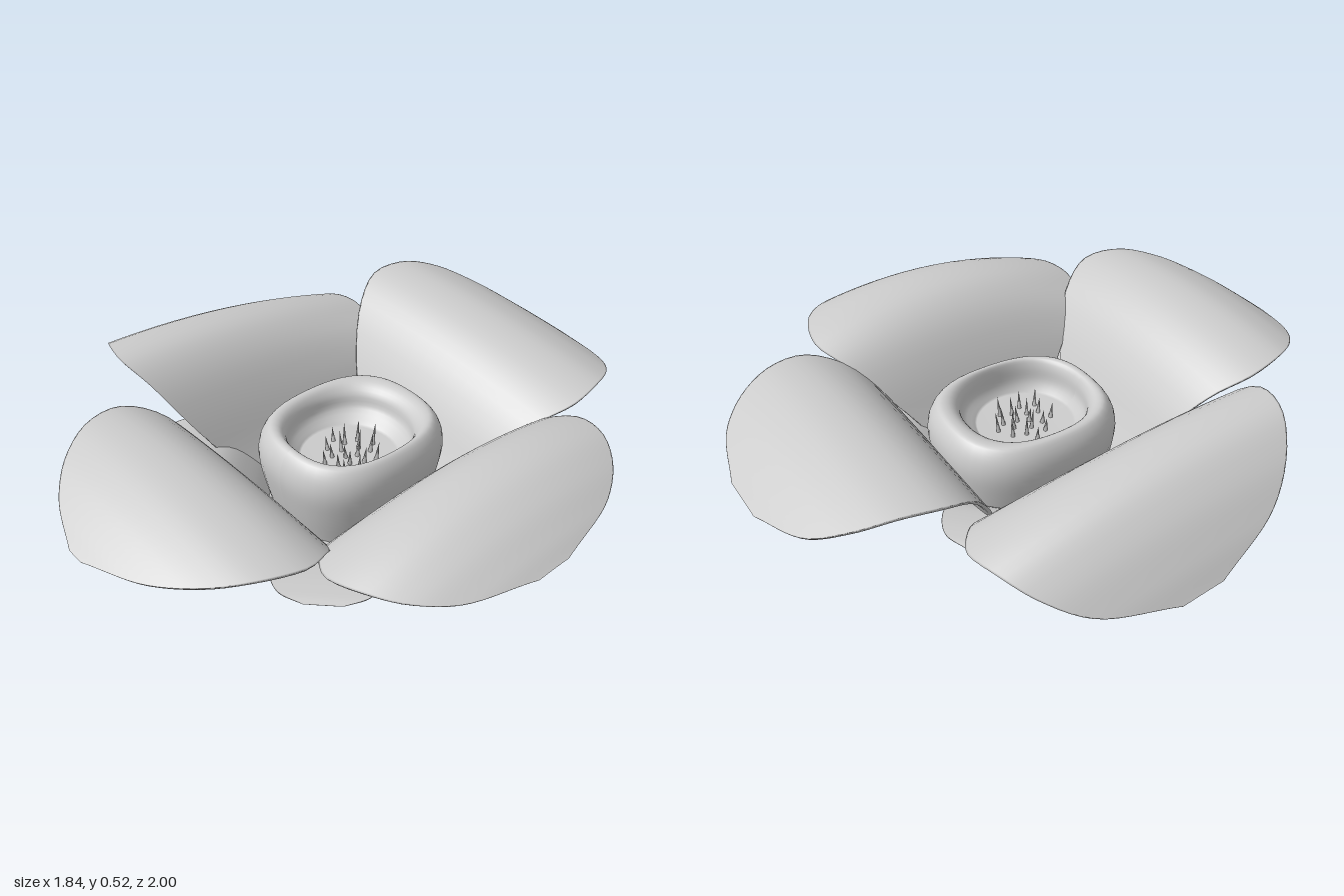
import * as THREE from 'three';

const material = new THREE.MeshStandardMaterial({ color: 0xcccccc, roughness: 0.8 });
const { lerp, smoothstep } = THREE.MathUtils;

// Blade lofted along +z. The spine holds (half width, height, reach) points;
// tilt raises one side, droop lowers both sides, low and high scale the two half widths.
function bladeGeometry(spine, { thickness, low = 1, high = 1, tilt = 0, droop = 0 }) {
  const along = 36, across = 20, loop = across * 2;
  const curve = new THREE.CatmullRomCurve3(spine);
  const positions = [], index = [];
  for (let i = 0; i <= along; i++) {
    const u = Math.sin((i / along) * Math.PI / 2); // rows crowd toward the tip
    const p = curve.getPoint(u), tangent = curve.getTangent(u);
    const slope = Math.atan2(tangent.y, tangent.z);
    const bend = smoothstep(u, 0.1, 0.5);
    for (let j = 0; j < loop; j++) {
      const under = j > across;
      const v = -Math.cos(((under ? loop - j : j) / across) * Math.PI);
      const t = under ? thickness * Math.pow(1 - v * v, 0.25) * Math.sqrt(1 - u ** 8) : 0;
      const x = lerp(-low, high, (v + 1) / 2) * p.x, side = x / 0.5;
      positions.push(
        x,
        p.y + bend * (tilt * side - droop * side * side) - t * Math.cos(slope),
        p.z + t * Math.sin(slope));
      if (i < along) {
        const k = i * loop + j, n = i * loop + (j + 1) % loop;
        index.push(k, k + loop, n, n, k + loop, n + loop);
      }
    }
  }
  const geometry = new THREE.BufferGeometry();
  geometry.setAttribute('position', new THREE.Float32BufferAttribute(positions, 3));
  geometry.setIndex(index);
  geometry.computeVertexNormals();
  return geometry;
}

// Shared petal spine: a steep funnel that flares out and dips at the tip.
// Reach sets its length, blunt widens the outer end, curl pulls the tip down.
function petalSpine({ reach = 1, blunt, curl = 0 }) {
  return [
    [0.19, 0.02, 0.24], [0.28, 0.15, 0.31], [0.38, 0.29, 0.38], [0.46, 0.41, 0.47],
    [0.51, 0.475, 0.58], [0.48, 0.485, 0.71], [0.39, 0.45, 0.83], [0.24, 0.395, 0.93],
    [0.03, 0.345, 1],
  ].map(([w, y, r]) => new THREE.Vector3(
    r > 0.58 ? 0.51 * Math.pow(w / 0.51, blunt) : w,
    y - curl * Math.max(0, (r - 0.6) / 0.4) ** 2,
    lerp(0.24, reach, (r - 0.24) / 0.76)));
}

// The four petals, each with its own outline and lean
const petals = [
  { name: 'frontPetal', low: 0.82, high: 1.06, droop: 0.04, blunt: 0.95 },
  { name: 'leftPetal', low: 1.02, high: 1.04, tilt: 0.03, droop: 0.08, reach: 0.92, blunt: 0.75 },
  { name: 'backPetal', low: 0.98, high: 0.97, tilt: 0.035, droop: 0.02, blunt: 0.58 },
  { name: 'rightPetal', low: 1.08, high: 0.96, tilt: 0.08, droop: 0.04, reach: 0.92, blunt: 0.7, curl: 0.13 },
];

// Rounded-square cup: outer wall, rolled rim, inner wall and floor
function cupGeometry() {
  const profile = new THREE.SplineCurve([
    [0.24, 0.02], [0.262, 0.12], [0.277, 0.22], [0.27, 0.285], [0.245, 0.328],
    [0.22, 0.33], [0.203, 0.3], [0.195, 0.25], [0.165, 0.21],
  ].map(([r, y]) => new THREE.Vector2(r, y))).getPoints(32);
  const geometry = new THREE.LatheGeometry([...profile, new THREE.Vector2(0, 0.21)], 48);
  const pos = geometry.attributes.position;
  for (let i = 0; i < pos.count; i++) {
    const x = pos.getX(i), z = pos.getZ(i);
    const blend = smoothstep(Math.hypot(x, z), 0.165, 0.24);
    const square = 1 - 0.04 * blend * Math.cos(4 * Math.atan2(x, z));
    pos.setX(i, x * square + 0.025 * (1 - blend));
    pos.setZ(i, z * square * (1 + 0.15 * blend) - 0.01 - 0.03 * blend);
  }
  geometry.computeVertexNormals();
  return geometry;
}

export function createModel() {
  const flower = new THREE.Group();
  flower.name = 'flower';
  const add = (name, geometry, parent = flower) => {
    const mesh = new THREE.Mesh(geometry, material);
    mesh.name = name;
    parent.add(mesh);
    return mesh;
  };
  const addGroup = (name) => {
    const group = new THREE.Group();
    group.name = name;
    flower.add(group);
    return group;
  };

  petals.forEach((petal, i) => {
    const geometry = bladeGeometry(petalSpine(petal), { ...petal, thickness: 0.028 });
    add(petal.name, geometry).rotation.y = i * Math.PI / 2;
  });

  // Sepals on the diagonals between the petals; the right-hand pair is shorter and steeper
  const sepals = addGroup('sepals');
  for (let i = 0; i < 4; i++) {
    const length = i > 1 ? 0.92 : 1, rise = i > 1 ? 1.2 : 1;
    const spine = [
      [0.1, 0.01, 0.27], [0.15, 0.08, 0.34], [0.185, 0.15, 0.44],
      [0.18, 0.175, 0.55], [0.14, 0.18, 0.64], [0.06, 0.175, 0.68],
    ].map(([w, y, r]) => new THREE.Vector3(w * length, y * rise, r * length));
    const sepal = add('sepal', bladeGeometry(spine, { thickness: 0.01 }), sepals);
    sepal.rotation.y = Math.PI / 4 + i * Math.PI / 2;
  }

  add('cup', cupGeometry());

  // Flat underside
  add('base', new THREE.CylinderGeometry(0.285, 0.275, 0.02, 20)).position.y = 0.01;

  // Stamens scattered in a spiral on the cup floor
  const stamens = addGroup('stamens');
  stamens.position.set(0.025, 0.21, -0.01);
  for (let i = 0; i < 18; i++) {
    const r = 0.11 * Math.sqrt((i + 0.5) / 18), angle = i * 2.4;
    const height = 0.055 + 0.03 * ((i * 7) % 5) / 4;
    const stamen = add('stamen', new THREE.ConeGeometry(0.008, height, 6), stamens);
    stamen.position.set(r * Math.sin(angle), height / 2, r * Math.cos(angle));
    stamen.rotation.set(0.12 * Math.cos(angle), 0, -0.12 * Math.sin(angle));
  }
  return flower;
}
